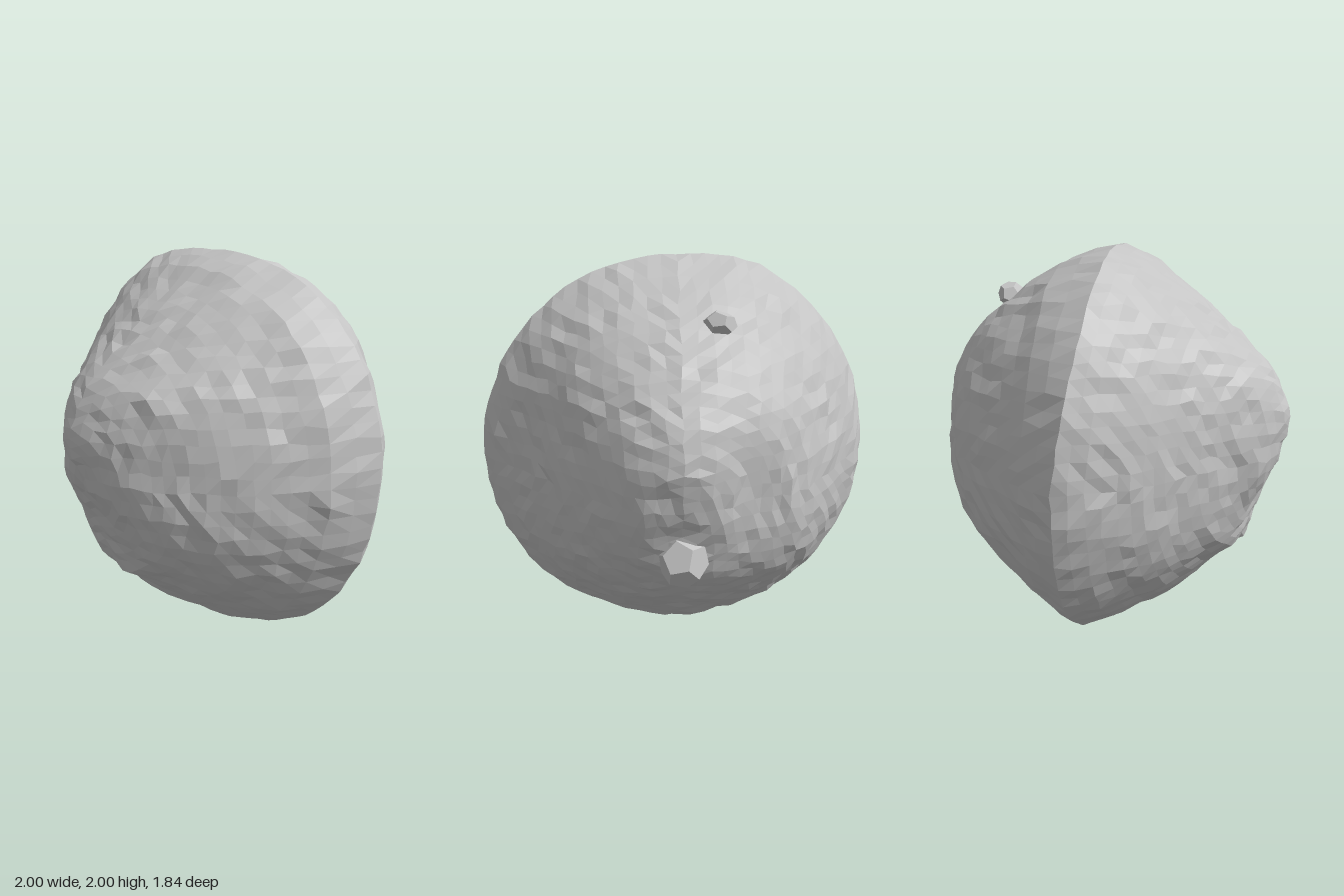
import * as THREE from 'three';

// Surface height along z at ten equal steps from pole to ridge, for four meridians:
// +x, +y, -x, -y
const FRONT = [
  [.88, .88, .87, .83, .77, .70, .60, .48, .34, .19, -.08],
  [.88, .91, .92, .88, .83, .73, .61, .49, .37, .23, .05],
  [.88, .88, .84, .75, .66, .58, .49, .41, .32, .20, .06],
  [.88, .85, .79, .765, .735, .69, .56, .47, .32, .16, -.02],
];
const BACK = [
  [.88, .88, .87, .81, .72, .62, .52, .41, .30, .20, .08],
  [.88, .90, .91, .88, .82, .74, .65, .55, .42, .24, -.05],
  [.88, .87, .84, .76, .72, .69, .60, .46, .31, .14, -.06],
  [.88, .85, .83, .81, .76, .67, .57, .45, .33, .18, .02],
];
// Ridge radius every 22.5 degrees from +x
const RIDGE = [1, 1, 1.01, 1.01, 1, 1.03, 1.02, 1.01, 1, 1.01, 1.01, .99, 1, .99, 1.01, 1];

// Local lumps and dents: centre, radius, outward height
const LUMPS = [
  [.36, .43, .72, .10, .03],
  [.45, .1, .7, .16, -.025],
  [.12, -.5, .68, .10, .025],
  [-.2, -.74, .38, .13, .02],
  [.42, .48, -.57, .28, .02],
  [-.42, .52, -.6, .28, .02],
  [.6, -.36, .45, .3, .04],
  [.6, -.38, -.4, .28, .03],
  [-.55, -.38, -.45, .28, .03],
  [-.55, -.35, .42, .25, .015],
];

const { lerp, clamp, smoothstep } = THREE.MathUtils;

function sample(list, t) {
  const i = Math.min(Math.floor(t), list.length - 2);
  return lerp(list[i], list[i + 1], t - i);
}

// Repeatable noise from a position, so shared corners stay together
function noise(p, seed) {
  const k = v => Math.round(v * 500);
  const s = Math.sin(k(p.x) * 12.99 + k(p.y) * 78.23 + k(p.z) * 37.72 + seed * 11.3) * 43758.5453;
  return (s - Math.floor(s)) * 2 - 1;
}

function shapeBody(geometry) {
  const pos = geometry.attributes.position;
  const d = new THREE.Vector3(), p = new THREE.Vector3(), c = new THREE.Vector3();
  for (let i = 0; i < pos.count; i++) {
    d.fromBufferAttribute(pos, i);
    d.divideScalar(Math.abs(d.x) + Math.abs(d.y) + Math.abs(d.z));
    const u = Math.min(1, Math.abs(d.x) + Math.abs(d.y));
    // Even angle within each quarter
    let angle = 0;
    if (u > 1e-5) {
      const q = Math.abs(d.y) / u * Math.PI / 2;
      angle = Math.atan2(Math.sin(q) * (d.y < 0 ? -1 : 1), Math.cos(q) * (d.x < 0 ? -1 : 1));
    }
    const turn = ((angle / (2 * Math.PI)) % 1 + 1) % 1;
    const m = Math.floor(turn * 4) % 4;
    const f = smoothstep(turn * 4 - m, 0, 1);
    const side = d.z >= -1e-6 ? 1 : -1;
    const table = side > 0 ? FRONT : BACK;
    let z = side * lerp(sample(table[m], u * 10), sample(table[(m + 1) % 4], u * 10), f);
    // The ridge wanders across the upper half
    if (d.y > 0) z -= .06 * u ** 6 * Math.sin(2 * angle);
    // Blunt the ridge by swelling the rings beside it
    const swell = .014 * Math.sin(Math.PI * clamp((u - .85) / .15, 0, 1));
    const r = (u + swell) * lerp(1, sample([...RIDGE, RIDGE[0]], turn * 16), u);
    p.set(r * Math.cos(angle), r * Math.sin(angle), z);
    for (const [x, y, lz, size, height] of LUMPS) {
      const w = Math.exp(-p.distanceToSquared(c.set(x, y, lz)) / (size * size));
      p.addScaledVector(c.normalize(), w * height);
    }
    // Slightly rough, uneven facets, smoother along the ridge
    const rough = u > .999 ? .003 : .009;
    p.multiplyScalar(1 + noise(d, 1) * .005);
    p.x = clamp(p.x + noise(d, 2) * rough, -1, 1);
    p.y = clamp(p.y + noise(d, 3) * rough, -1, 1);
    p.z += noise(d, 4) * .005;
    pos.setXYZ(i, p.x, p.y + 1, p.z);
  }
  geometry.computeVertexNormals();
  return geometry;
}

export function createModel() {
  const group = new THREE.Group();
  group.name = 'asteroid';
  const rock = new THREE.MeshStandardMaterial({ color: 0xc4c4c4, flatShading: true });
  rock.name = 'grey rock';

  const body = new THREE.Mesh(shapeBody(new THREE.OctahedronGeometry(1, 21)), rock);
  body.name = 'body';
  group.add(body);

  // Boulders half sunk in the surface: position, half sizes
  const boulders = [
    ['backBoulder', [0, .74, -.81], [.12, .13, .11]],
    ['upperBoulder', [-.18, 1.75, -.48], [.08, .06, .07]],
  ];
  for (const [name, at, size] of boulders) {
    const boulder = new THREE.Mesh(new THREE.DodecahedronGeometry(1), rock);
    boulder.name = name;
    boulder.position.set(...at);
    boulder.scale.set(...size);
    boulder.rotation.set(.4, .3, .2);
    group.add(boulder);
  }
  return group;
}
